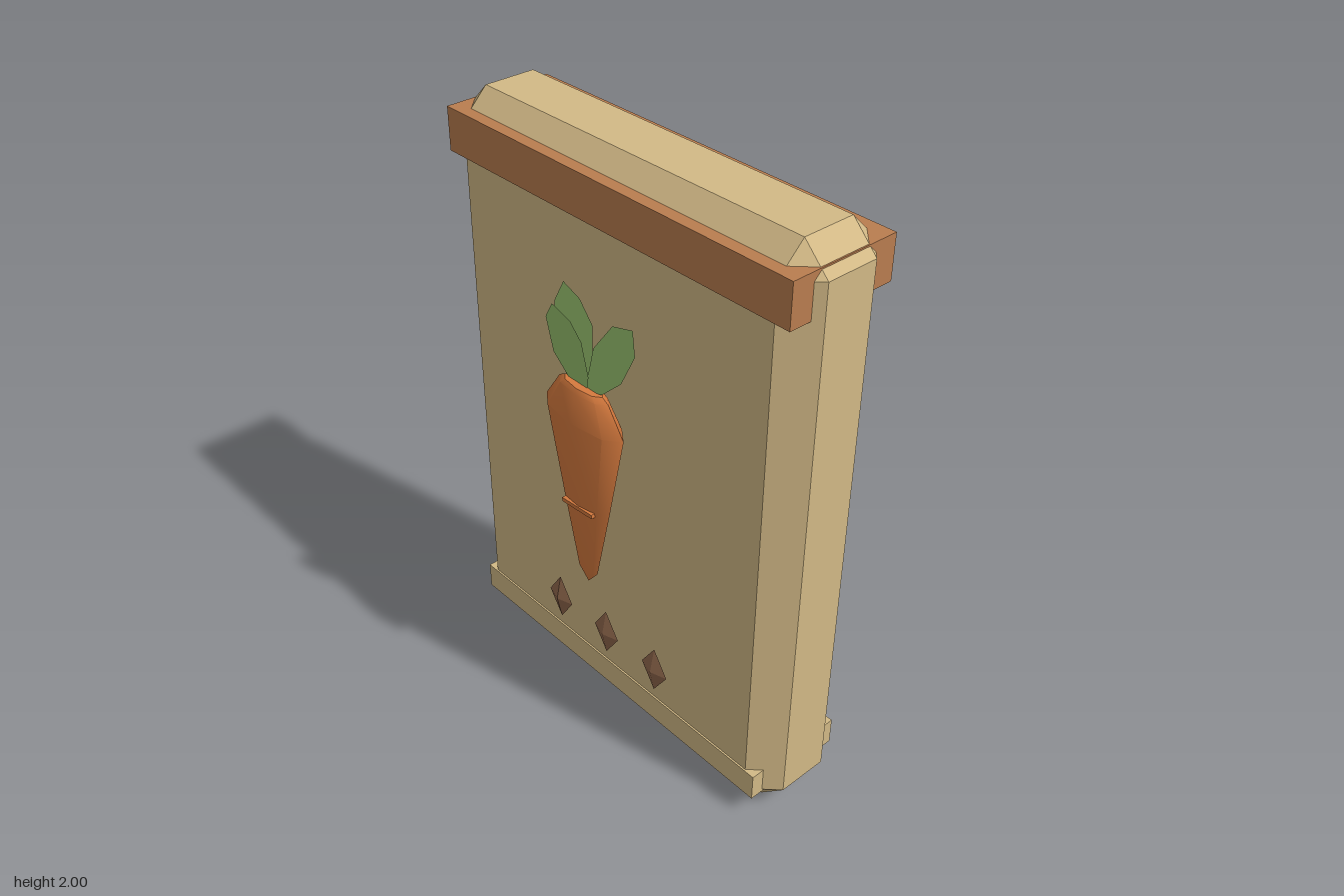
import * as THREE from 'three';
import { toCreasedNormals } from 'three/addons/utils/BufferGeometryUtils.js';
import { ConvexGeometry } from 'three/addons/geometries/ConvexGeometry.js';

const material = (name, color, extra = {}) => {
  const m = new THREE.MeshStandardMaterial({ color, ...extra });
  m.name = name;
  return m;
};

// Box with all edges cut at 45 degrees; w, h, d are half sizes
function chamferedBox(w, h, d, c) {
  const points = [];
  for (const sx of [-1, 1]) for (const sy of [-1, 1]) for (const sz of [-1, 1]) {
    points.push(
      new THREE.Vector3(sx * w, sy * (h - c), sz * (d - c)),
      new THREE.Vector3(sx * (w - c), sy * h, sz * (d - c)),
      new THREE.Vector3(sx * (w - c), sy * (h - c), sz * d));
  }
  return new ConvexGeometry(points);
}

// Flat leaf outline, leaning in z as it rises from its root
function leafGeometry(outline, lean) {
  const shape = new THREE.Shape(outline.map(([x, y]) => new THREE.Vector2(x, y)));
  const g = new THREE.ShapeGeometry(shape);
  const p = g.attributes.position;
  for (let i = 0; i < p.count; i++) p.setZ(i, 0.19 + (p.getY(i) - 1.31) * lean);
  g.computeVertexNormals();
  return g;
}

export function createModel() {
  const paper = material('tan paper', 0xd2b986);
  const brown = material('brown band', 0xb97d4f);
  const orange = material('carrot orange', 0xd67a3e);
  const green = material('leaf green', 0x9ac470, { side: THREE.DoubleSide });
  const seedBrown = material('seed brown', 0x8f674c);
  seedBrown.flatShading = true;

  const model = new THREE.Group();
  model.name = 'seedPacket';
  const add = (name, geometry, mat, x = 0, y = 0, z = 0, parent = model) => {
    const mesh = new THREE.Mesh(geometry, mat);
    mesh.name = name;
    mesh.position.set(x, y, z);
    parent.add(mesh);
    return mesh;
  };

  // Packet with its top band and bottom fold
  add('packetBody', chamferedBox(0.722, 1, 0.175, 0.087), paper, 0, 1, -0.06);
  add('topBand', new THREE.BoxGeometry(1.395, 0.14, 0.375), brown, 0, 1.872, -0.06);
  add('bottomFold', new THREE.BoxGeometry(1.35, 0.097, 0.362), paper, 0, 0.127, -0.06);

  // Flattened carrot root
  const carrot = new THREE.Group();
  carrot.name = 'carrot';
  model.add(carrot);
  const profile = [[0, 0.57], [0.045, 0.625], [0.108, 0.9], [0.175, 1.21], [0.11, 1.305], [0.085, 1.32], [0, 1.32]]
    .map(([r, y]) => new THREE.Vector2(r, y));
  const root = new THREE.LatheGeometry(profile, 8);
  root.scale(1, 1, 0.315);
  add('carrotRoot', toCreasedNormals(root, 0.6), orange, -0.02, 0, 0.19, carrot);

  // Raised wrinkle across the root
  const wrinkle = add('carrotWrinkle', new THREE.BoxGeometry(0.14, 0.014, 0.014), orange, -0.022, 0.885, 0.221, carrot);
  wrinkle.rotation.z = 0.08;

  // Leaves: back, front and right
  const leaves = [
    ['backLeaf', -0.17, [[-0.055, 1.31], [-0.01, 1.32], [0.0, 1.43], [-0.015, 1.51], [-0.08, 1.565], [-0.157, 1.588], [-0.185, 1.52], [-0.175, 1.4], [-0.09, 1.31]]],
    ['frontLeaf', 0.2, [[-0.08, 1.31], [-0.005, 1.31], [0.018, 1.37], [0.022, 1.5], [-0.01, 1.56], [-0.082, 1.588], [-0.13, 1.52], [-0.134, 1.39]]],
    ['rightLeaf', -0.055, [[-0.01, 1.31], [0.06, 1.325], [0.14, 1.4], [0.192, 1.51], [0.178, 1.588], [0.095, 1.565], [0.018, 1.46], [0.0, 1.37]]],
  ];
  for (const [name, lean, outline] of leaves) add(name, leafGeometry(outline, lean), green, 0, 0, 0, carrot);

  // Row of three seeds
  for (const x of [-0.235, 0, 0.235]) {
    const seed = add('seed', new THREE.OctahedronGeometry(1), seedBrown, x, 0.327, 0.137);
    seed.scale.set(0.058, 0.088, 0.018);
  }
  return model;
}
